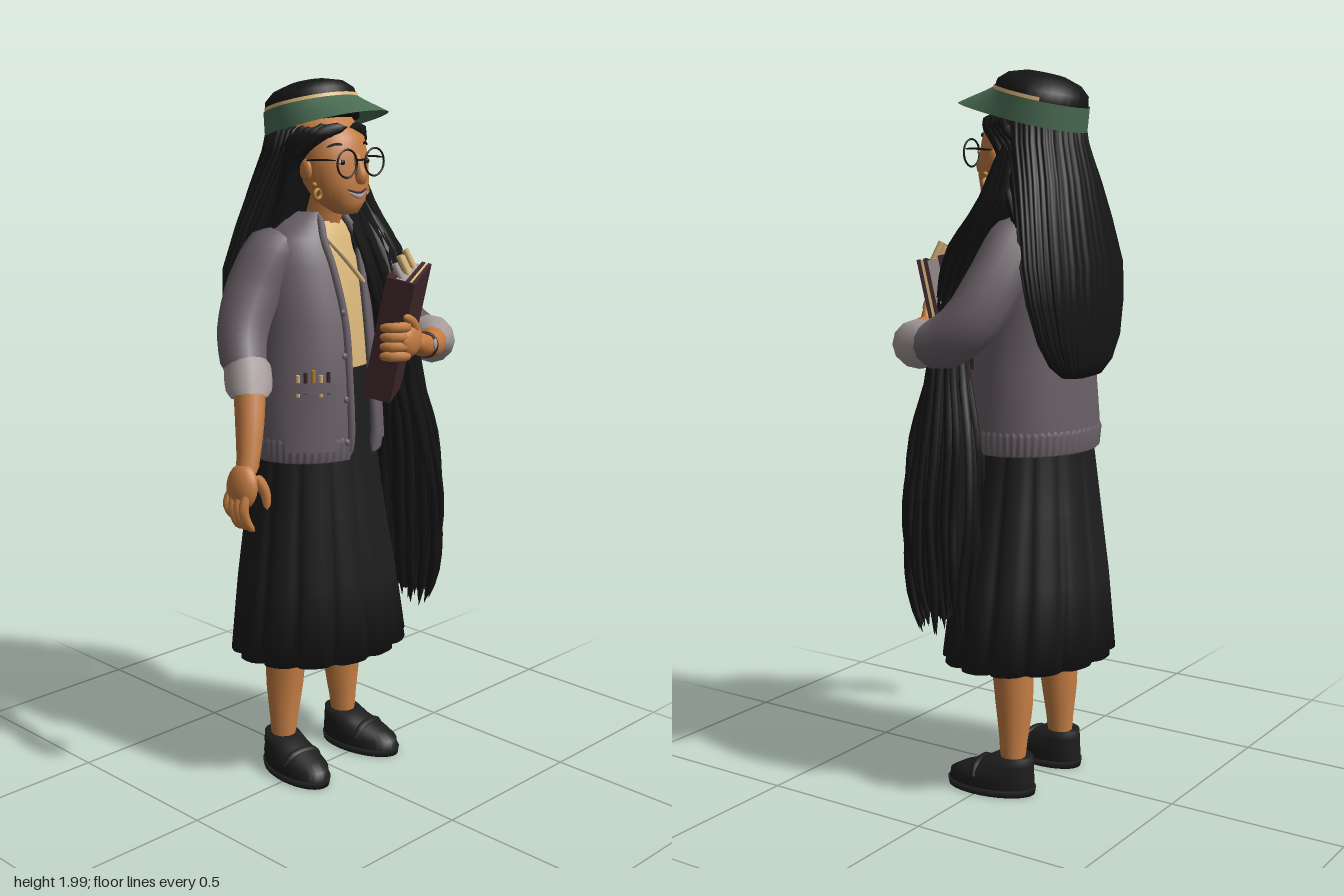
import * as THREE from 'three';

const mat = (name, color, side = THREE.FrontSide) => {
  const m = new THREE.MeshStandardMaterial({ color, side });
  m.name = name;
  return m;
};
const hair = mat('hair black', 0x151515);
const cloth = mat('black cloth', 0x1d1d1e, THREE.DoubleSide);
const wool = mat('grey wool', 0x6a6168, THREE.DoubleSide);
const cuffGrey = mat('pale cuff', 0xa89d9c, THREE.DoubleSide);
const skin = mat('skin', 0xc47d43);
const cream = mat('cream', 0xdab67a);
const maroon = mat('maroon', 0x40282c);
const green = mat('visor green', 0x4a6d53, THREE.DoubleSide);
const gold = mat('gold', 0xb98032);

let seed = 7;
const rnd = () => (seed = (seed * 16807) % 2147483647) / 2147483647;

function add(parent, name, geo, m, x = 0, y = 0, z = 0) {
  const mesh = new THREE.Mesh(geo, m);
  mesh.name = name;
  mesh.position.set(x, y, z);
  parent.add(mesh);
  return mesh;
}

// Skin of elliptical rings, bottom to top: [y, cx, cz, rx, rz, extra front gap].
// Angle 0 is the front; a0..a1 limits the arc, ripple(angle, height 0..1) scales a ring.
function loft(secs, { n = 32, a0 = 0, a1 = Math.PI * 2, ripple = () => 1 } = {}) {
  const closed = a1 - a0 > 6.28, cols = closed ? n : n + 1, pos = [], idx = [];
  secs.forEach(([y, cx, cz, rx, rz, gap = 0], i) => {
    for (let j = 0; j < cols; j++) {
      const a = a0 + gap + ((a1 - a0 - 2 * gap) * j) / n;
      const k = ripple(a, i / (secs.length - 1));
      pos.push(cx + rx * k * Math.sin(a), y, cz + rz * k * Math.cos(a));
    }
  });
  for (let i = 0; i < secs.length - 1; i++) {
    for (let j = 0; j < n; j++) {
      const a = i * cols + j, b = i * cols + ((j + 1) % cols);
      idx.push(a, b, b + cols, a, b + cols, a + cols);
    }
  }
  const g = new THREE.BufferGeometry();
  g.setAttribute('position', new THREE.Float32BufferAttribute(pos, 3));
  g.setIndex(idx);
  g.computeVertexNormals();
  return g;
}

// Tube through [x, y, z, radius] points with a varying radius and rounded ends
function limb(pts, { seg = 16, sides = 10 } = {}) {
  const curve = new THREE.CatmullRomCurve3(pts.map(([x, y, z]) => new THREE.Vector3(x, y, z)));
  const g = new THREE.TubeGeometry(curve, seg, 1, sides, false);
  const p = g.attributes.position, nor = g.attributes.normal;
  for (let i = 0; i < p.count; i++) {
    const ring = Math.floor(i / (sides + 1)), u = ring / seg;
    const f = curve.getUtoTmapping(u) * (pts.length - 1);
    const k = Math.min(Math.floor(f), pts.length - 2);
    const end = Math.min(ring, seg - ring);
    const r = THREE.MathUtils.lerp(pts[k][3], pts[k + 1][3], f - k) * (end === 0 ? 0 : end === 1 ? 0.85 : 1);
    const c = curve.getPointAt(u);
    p.setXYZ(i, c.x + nor.getX(i) * r, c.y + nor.getY(i) * r, c.z + nor.getZ(i) * r);
  }
  return g;
}
const ball = (sx, sy, sz) => new THREE.SphereGeometry(1, 18, 12).scale(sx, sy, sz);

export function createModel() {
  const root = new THREE.Group();
  root.name = 'standing woman';

  // Legs and loafers
  for (const [x, turn] of [[-0.085, -0.13], [0.155, 0.13]]) {
    add(root, 'leg', limb([[x, 0.6, -0.075, 0.07], [x, 0.38, -0.075, 0.062], [x, 0.25, -0.08, 0.054],
      [x + turn * 0.04, 0.13, -0.08, 0.038], [x + turn * 0.06, 0.05, -0.08, 0.04]]), skin);
    const shoe = new THREE.Group();
    shoe.name = 'shoe';
    shoe.position.x = x + Math.sign(turn) * 0.019;
    shoe.rotation.y = turn;
    root.add(shoe);
    add(shoe, 'shoeUpper', loft([[0.018, 0, -0.015, 0.068, 0.13], [0.045, 0, -0.018, 0.07, 0.128], [0.065, 0, -0.035, 0.064, 0.108],
      [0.085, 0, -0.065, 0.056, 0.078], [0.108, 0, -0.085, 0.048, 0.056], [0.1, 0, -0.085, 0, 0]]), cloth);
    add(shoe, 'shoeSole', loft([[0, 0, -0.015, 0, 0], [0, 0, -0.015, 0.069, 0.132], [0.02, 0, -0.015, 0.073, 0.135], [0.021, 0, -0.015, 0, 0]]), cloth);
    add(shoe, 'shoeStrap', limb([[-0.066, 0.04, 0.01, 0.01], [-0.035, 0.074, 0.015, 0.012], [0.035, 0.074, 0.015, 0.012], [0.066, 0.04, 0.01, 0.01]]), cloth);
  }

  // Pleated high-waisted skirt
  const pleat = (a, h) => 1.01 - (1 - h) * 0.1 * (1 - Math.abs(Math.sin(a * 7 + 0.4))) ** 2;
  add(root, 'skirt', loft([[0.42, 0.035, -0.055, 0, 0], [0.38, 0.035, -0.055, 0.281, 0.227], [0.6, 0.025, -0.053, 0.25, 0.207],
    [0.8, 0.015, -0.05, 0.217, 0.182], [0.97, 0.01, -0.05, 0.19, 0.16], [1.04, 0.01, -0.05, 0.188, 0.16],
    [1.22, 0.012, -0.052, 0.176, 0.151]], { n: 140, ripple: pleat }), cloth);

  // Shirt and neck
  add(root, 'shirt', loft([[1.15, 0.01, -0.05, 0.17, 0.145], [1.35, 0.015, -0.06, 0.162, 0.143], [1.5, 0.02, -0.075, 0.16, 0.118],
    [1.57, 0.025, -0.078, 0.135, 0.1], [1.615, 0.03, -0.07, 0.075, 0.075], [1.62, 0.03, -0.07, 0, 0]]), cream);
  add(root, 'shirtFold', limb([[-0.03, 1.6, 0.0, 0.006], [0.03, 1.52, 0.045, 0.008], [0.1, 1.43, 0.07, 0.006]]), cream);
  add(root, 'neck', limb([[0.03, 1.52, -0.06, 0.055], [0.035, 1.6, -0.045, 0.052], [0.04, 1.72, -0.02, 0.05]]), skin);

  // Open cardigan, ribbed hem, front edges and pockets
  const arc = { n: 56, a0: 0.36, a1: Math.PI * 2 - 0.15 };
  const body = [[0.97, 0.01, -0.05, 0.2, 0.17], [1.04, 0.01, -0.05, 0.208, 0.178], [1.2, 0.01, -0.05, 0.192, 0.167],
    [1.35, 0.015, -0.06, 0.177, 0.157, 0.02], [1.5, 0.02, -0.075, 0.176, 0.133, 0.1], [1.57, 0.025, -0.08, 0.157, 0.112, 0.2],
    [1.615, 0.03, -0.075, 0.1, 0.09, 0.35], [1.64, 0.03, -0.07, 0.066, 0.07, 0.5]];
  add(root, 'cardigan', loft(body, arc), wool);
  add(root, 'cardiganHem', loft([[0.965, 0.01, -0.05, 0.2, 0.17], [0.97, 0.01, -0.05, 0.206, 0.176], [1.02, 0.01, -0.05, 0.211, 0.181],
    [1.035, 0.01, -0.05, 0.205, 0.175]], { ...arc, n: 180, ripple: (a) => 1 + 0.012 * Math.sin(a * 60) }), wool);
  for (const [end, s] of [[arc.a0, 1], [arc.a1, -1]]) {
    add(root, 'cardiganEdge', limb(body.map(([y, cx, cz, rx, rz, g = 0]) =>
      [cx + rx * Math.sin(end + s * g), y, cz + rz * Math.cos(end + s * g), 0.011]), { seg: 28, sides: 8 }), wool);
  }
  for (const [lo, hi] of [[-1.12, -0.4], [0.55, 1.2]]) {
    add(root, 'pocket', loft([[1.0, 0.01, -0.05, 0.215, 0.185], [1.19, 0.01, -0.05, 0.202, 0.177]], { n: 10, a0: lo, a1: hi }), wool);
    add(root, 'pocketTrim', loft([[1.165, 0.01, -0.05, 0.21, 0.184], [1.195, 0.01, -0.05, 0.208, 0.182]], { n: 10, a0: lo, a1: hi }), wool);
  }
  for (let i = 0; i < 5; i++) {
    const a = -0.95 + i * 0.11;
    add(root, 'pocketPen', new THREE.CylinderGeometry(0.006, 0.006, 0.06, 6), [cream, maroon, gold][i % 3],
      0.01 + 0.202 * Math.sin(a), 1.185 + 0.007 * (i % 3), -0.05 + 0.177 * Math.cos(a));
  }
  for (let i = 0; i < 4; i++) add(root, 'button', ball(0.009, 0.009, 0.005), wool, -0.037, 1.02 + i * 0.12, 0.128 - i * 0.006);

  // Right arm hanging down
  add(root, 'rightSleeve', limb([[-0.07, 1.57, -0.08, 0.06], [-0.12, 1.53, -0.085, 0.078], [-0.178, 1.43, -0.095, 0.08],
    [-0.23, 1.32, -0.085, 0.071], [-0.262, 1.21, -0.04, 0.062]], { sides: 12 }), wool);
  add(root, 'rightCuff', limb([[-0.243, 1.265, -0.055, 0.064], [-0.26, 1.205, -0.03, 0.066], [-0.275, 1.15, -0.01, 0.06]], { sides: 12, seg: 8 }), cuffGrey);
  add(root, 'rightForearm', limb([[-0.265, 1.2, -0.02, 0.045], [-0.292, 1.09, 0.008, 0.039], [-0.315, 1.0, 0.025, 0.031], [-0.328, 0.96, 0.03, 0.033]]), skin);
  add(root, 'rightPalm', ball(0.032, 0.065, 0.052), skin, -0.342, 0.935, 0.03).rotation.z = -0.15;
  for (let i = 0; i < 4; i++) {
    const z = -0.002 + i * 0.021, d = i === 0 ? 0.02 : 0;
    add(root, 'rightFinger', limb([[-0.35, 0.93, z, 0.014], [-0.368, 0.885, z + 0.002, 0.014], [-0.355, 0.84 + d, z + 0.004, 0.013],
      [-0.33, 0.815 + d, z + 0.005, 0.009]], { seg: 9, sides: 7 }), skin);
  }
  add(root, 'rightThumb', limb([[-0.325, 0.97, 0.06, 0.02], [-0.3, 0.92, 0.074, 0.015], [-0.294, 0.87, 0.076, 0.01]], { seg: 9, sides: 7 }), skin);

  // Left arm bent across the body
  add(root, 'leftSleeve', limb([[0.11, 1.56, -0.085, 0.06], [0.17, 1.53, -0.09, 0.078], [0.245, 1.43, -0.075, 0.08], [0.298, 1.33, -0.03, 0.078],
    [0.31, 1.28, 0.04, 0.073], [0.3, 1.27, 0.12, 0.062]], { seg: 20, sides: 12 }), wool);
  add(root, 'leftCuff', limb([[0.312, 1.272, 0.085, 0.062], [0.295, 1.268, 0.135, 0.068], [0.262, 1.265, 0.178, 0.06]], { sides: 12, seg: 8 }), cuffGrey);
  add(root, 'leftForearm', limb([[0.3, 1.27, 0.13, 0.045], [0.23, 1.27, 0.195, 0.04], [0.16, 1.28, 0.23, 0.031], [0.09, 1.3, 0.256, 0.034]]), skin);
  add(root, 'bracelet', new THREE.TorusGeometry(0.033, 0.005, 6, 20), maroon, 0.165, 1.28, 0.228).rotation.y = -1.05;
  add(root, 'watchFace', ball(0.013, 0.016, 0.006), cuffGrey, 0.172, 1.285, 0.258).rotation.y = 0.5;
  add(root, 'leftPalm', ball(0.055, 0.045, 0.022), skin, 0.07, 1.31, 0.26).rotation.y = 0.3;
  for (let i = 0; i < 4; i++) {
    const y = 1.27 + i * 0.026;
    add(root, 'leftFinger', limb([[0.06, y, 0.267, 0.015], [0.02, y + 0.003, 0.268, 0.015], [-0.004, y + 0.002, 0.247, 0.014], [0.0, y, 0.21, 0.01]], { seg: 9, sides: 7 }), skin);
  }
  add(root, 'leftThumb', limb([[0.09, 1.33, 0.26, 0.017], [0.06, 1.365, 0.266, 0.015], [0.03, 1.38, 0.27, 0.01]], { seg: 9, sides: 7 }), skin);

  // Book folder held against the chest: [centre z, thickness, inset, colour]
  const book = new THREE.Group();
  book.name = 'book';
  book.position.set(0.131, 1.318, 0.154);
  book.rotation.set(0.21, 0.55, 0.1, 'YXZ');
  root.add(book);
  for (const [z, t, inset, m] of [[-0.029, 0.022, 0, maroon], [-0.003, 0.03, 0.014, cuffGrey], [0.017, 0.01, 0, maroon],
    [0.026, 0.008, 0.006, cream], [0.035, 0.01, 0, maroon]]) {
    add(book, m === maroon ? 'bookCover' : 'bookPages', new THREE.BoxGeometry(0.235 - inset, 0.345 - inset, t), m, 0, 0, z);
  }
  add(book, 'bookSpine', new THREE.BoxGeometry(0.008, 0.345, 0.08), maroon, -0.115, 0, 0);
  for (const [i, x] of [-0.07, -0.015, 0.02, 0.06].entries()) {
    add(book, 'pencil', new THREE.CylinderGeometry(0.01, 0.01, 0.07, 7), i === 0 ? cuffGrey : cream, x, 0.172 + 0.01 * (i % 2), -0.012).rotation.x = -0.65;
  }

  // Head and face
  add(root, 'head', loft([[1.632, 0.04, 0.04, 0, 0], [1.638, 0.042, 0.04, 0.032, 0.035], [1.67, 0.042, 0.018, 0.068, 0.071],
    [1.72, 0.042, 0.003, 0.095, 0.087], [1.78, 0.042, -0.012, 0.102, 0.095], [1.84, 0.042, -0.025, 0.098, 0.096],
    [1.89, 0.042, -0.055, 0.085, 0.085], [1.92, 0.042, -0.06, 0, 0]]), skin);
  add(root, 'nose', limb([[0.043, 1.8, 0.076, 0.01], [0.043, 1.765, 0.089, 0.013], [0.043, 1.735, 0.097, 0.018], [0.043, 1.72, 0.086, 0.011]]), skin);
  add(root, 'teeth', limb([[0.008, 1.699, 0.081, 0.004], [0.043, 1.685, 0.09, 0.007], [0.078, 1.699, 0.081, 0.004]], { seg: 10, sides: 6 }), cuffGrey);
  add(root, 'upperLip', limb([[0.004, 1.705, 0.081, 0.003], [0.043, 1.695, 0.091, 0.003], [0.082, 1.705, 0.081, 0.003]], { seg: 10, sides: 6 }), maroon);
  for (const s of [-1, 1]) {
    const x = 0.043 + s * 0.053;
    add(root, 'eye', ball(0.015, 0.006, 0.008), cuffGrey, x - s * 0.006, 1.777, 0.067);
    add(root, 'pupil', ball(0.008, 0.007, 0.004), hair, x - s * 0.006, 1.777, 0.074);
    add(root, 'eyebrow', limb([[x - s * 0.03, 1.815, 0.067, 0.003], [x, 1.825, 0.059, 0.004], [x + s * 0.028, 1.816, 0.042, 0.003]], { seg: 8, sides: 6 }), hair);
    add(root, 'ear', ball(0.012, 0.03, 0.02), skin, 0.042 + s * 0.102, 1.755, -0.01);
    add(root, 'lensRim', new THREE.TorusGeometry(0.037, 0.0028, 6, 28), hair, x, 1.775, 0.096);
    add(root, 'glassesArm', limb([[x + s * 0.037, 1.785, 0.096, 0.003], [x + s * 0.052, 1.785, 0.05, 0.003], [x + s * 0.052, 1.78, -0.02, 0.003]], { seg: 6, sides: 5 }), hair);
    add(root, 'earring', new THREE.TorusGeometry(0.012, 0.005, 6, 16), gold, 0.042 + s * 0.092, 1.693, 0.025);
    add(root, 'earStud', ball(0.007, 0.007, 0.007), gold, 0.042 + s * 0.1, 1.718, 0.02);
  }
  add(root, 'glassesBridge', new THREE.BoxGeometry(0.032, 0.005, 0.005), hair, 0.043, 1.783, 0.099);

  // Long back hair with fine ridges
  add(root, 'backHair', loft([[1.17, 0.035, -0.222, 0, 0], [1.18, 0.035, -0.222, 0.09, 0.03], [1.215, 0.035, -0.22, 0.145, 0.045],
    [1.28, 0.035, -0.215, 0.187, 0.062], [1.38, 0.035, -0.203, 0.215, 0.078], [1.48, 0.035, -0.19, 0.222, 0.088], [1.6, 0.037, -0.165, 0.195, 0.092],
    [1.7, 0.04, -0.14, 0.165, 0.1], [1.8, 0.042, -0.11, 0.134, 0.106], [1.86, 0.042, -0.1, 0.122, 0.108], [1.9, 0.042, -0.09, 0, 0]],
  { n: 192, ripple: (a, h) => 1 + 0.018 * Math.sin(a * 44) + 0.015 * Math.sin(a * 17 + h * 3) }), hair);

  // Side hair parted over the forehead and framing the face
  for (const s of [-1, 1]) {
    for (let i = 0; i < 4; i++) {
      const o = i * 0.02;
      add(root, 'sideHair', limb([[0.043 + s * 0.003, 1.868, 0.05 - o, 0.02], [0.043 + s * (0.07 + o / 3), 1.85, 0.025 - o, 0.022], [0.043 + s * 0.112, 1.78, -0.045 - o, 0.02],
        [0.043 + s * 0.125, 1.68, -0.075 - o, 0.02], [0.043 + s * 0.16, 1.55, -0.14 - o, 0.016]], { seg: 14, sides: 7 }), hair);
    }
  }

  // Long lock over the left shoulder: core and loose strands around it
  const path = [[0.15, 1.8, -0.07, 0.02], [0.158, 1.65, -0.03, 0.038], [0.165, 1.52, 0.05, 0.055], [0.17, 1.38, 0.1, 0.05], [0.205, 1.2, 0.095, 0.056],
    [0.24, 1.0, 0.086, 0.066], [0.262, 0.8, 0.083, 0.076], [0.268, 0.63, 0.08, 0.07], [0.275, 0.5, 0.07, 0.05]];
  add(root, 'hairLock', limb(path, { seg: 30 }), hair);
  for (let i = 0; i < 44; i++) {
    const a = i * 2.4, q = 0.75 + rnd() * 0.35, drop = rnd() * 0.08 - 0.04;
    add(root, 'hairStrand', limb(path.map(([x, y, z, r], k) => [
      x + Math.cos(a) * r * q + (rnd() - 0.5) * 0.016,
      y - (k > 6 ? drop : 0),
      z + Math.sin(a) * r * q * (k > 4 ? 1.35 : 0.85) + (rnd() - 0.5) * 0.016,
      k === 8 ? 0.009 : 0.0125]), { seg: 26, sides: 5 }), hair);
  }

  // Tilted cap: crown, cream trim, and a band flaring into the visor
  const hat = new THREE.Group();
  hat.name = 'cap';
  hat.position.set(0.045, 1.868, -0.083);
  hat.rotation.x = -0.24;
  root.add(hat);
  add(hat, 'capCrown', loft([[0, 0, 0, 0, 0], [0, 0, 0, 0.126, 0.126], [0.05, 0, 0, 0.13, 0.129], [0.08, 0, 0, 0.125, 0.124],
    [0.102, 0, 0, 0.1, 0.1], [0.116, 0, 0, 0.055, 0.055], [0.118, 0, 0, 0, 0]]), hair);
  add(hat, 'capTrim', new THREE.CylinderGeometry(0.1305, 0.1325, 0.011, 40, 1, true, -2.1, 4.2), cream, 0, 0.058, 0);
  const rim = (a) => Math.cos(a) < 0 ? 0.14
    : (Math.abs(Math.sin(a) / 0.14) ** 2.4 + Math.abs(Math.cos(a) / 0.234) ** 2.4) ** (-1 / 2.4);
  add(hat, 'capVisor', loft([[-0.01, 0, 0, 1, 1], [0.012, 0, 0, 1, 1], [0.033, 0, 0, 1, 1], [0.054, 0, 0, 1, 1]],
    { n: 64, ripple: (a, h) => THREE.MathUtils.lerp(rim(a), 0.133, h) }), green);

  return root;
}
